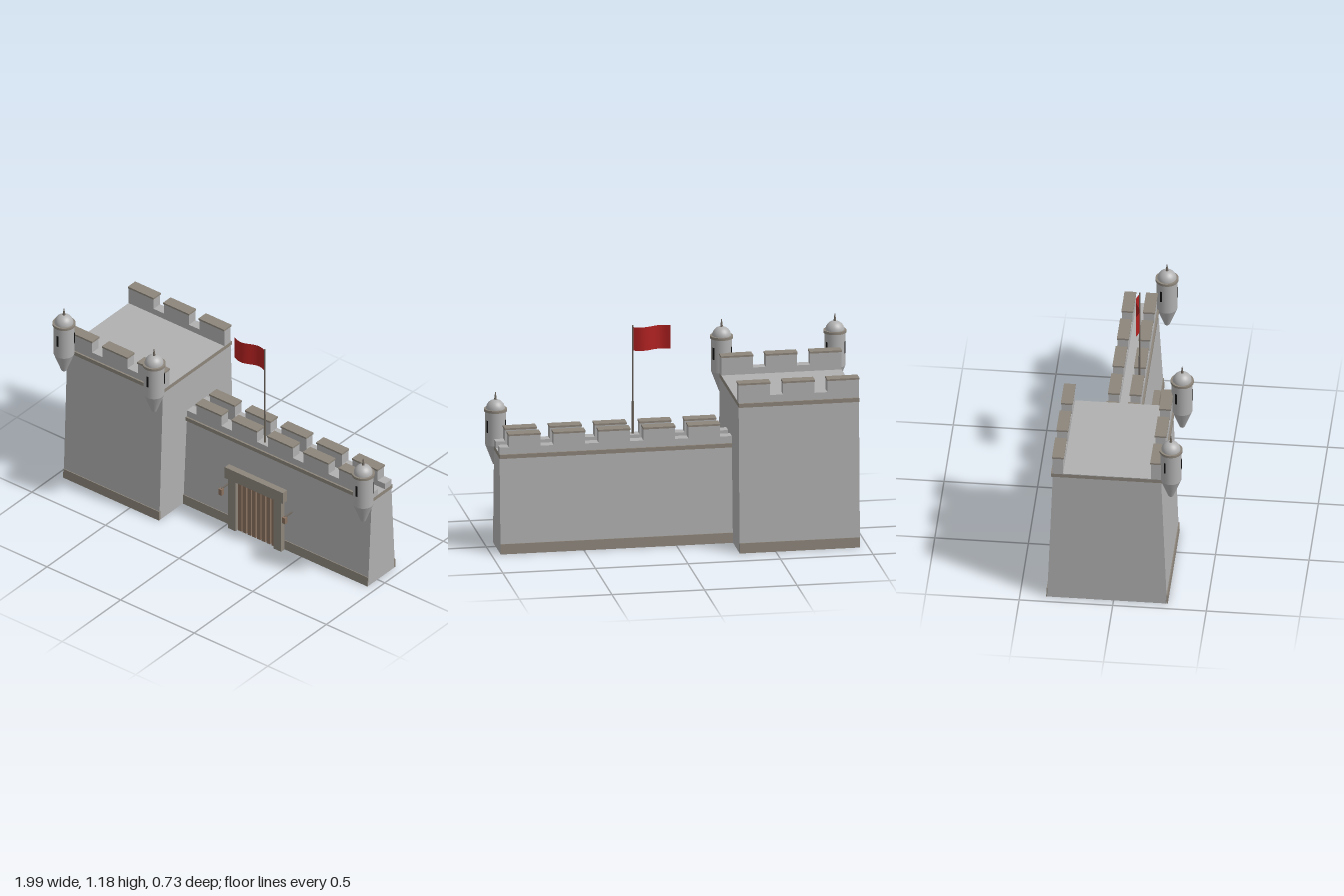
import * as THREE from 'three';

const mat = (name, color, side = THREE.FrontSide) => {
  const m = new THREE.MeshStandardMaterial({ color, side });
  m.name = name;
  return m;
};

export function createModel() {
  const stone = mat('stone', 0xb0b0b0);
  const trim = mat('trimStone', 0x8c857b);
  const wood = mat('wood', 0x8a7260);
  const dark = mat('slitBlack', 0x111111);
  const metal = mat('metal', 0x6e675f);
  const red = mat('flagRed', 0xb02020, THREE.DoubleSide);
  const model = new THREE.Group();
  model.name = 'castle';

  const add = (name, geo, material, parent = model) => {
    const mesh = new THREE.Mesh(geo, material);
    mesh.name = name;
    parent.add(mesh);
    return mesh;
  };
  // Box given by its limits on each axis
  const box = (name, [x0, x1], [y0, y1], [z0, z1], material, parent) => {
    const m = add(name, new THREE.BoxGeometry(x1 - x0, y1 - y0, z1 - z0), material, parent);
    m.position.set((x0 + x1) / 2, (y0 + y1) / 2, (z0 + z1) / 2);
    return m;
  };
  // Block whose back and front faces lean: low and high are [back, front] z limits
  const leaning = (name, [x0, x1], [y0, y1], low, high, material, parent) => {
    const geo = new THREE.BoxGeometry(x1 - x0, y1 - y0, 1);
    const p = geo.attributes.position;
    for (let i = 0; i < p.count; i++) {
      const lim = p.getY(i) > 0 ? high : low;
      p.setZ(i, lim[p.getZ(i) > 0 ? 1 : 0]);
    }
    geo.translate((x0 + x1) / 2, (y0 + y1) / 2, 0);
    geo.computeVertexNormals();
    return add(name, geo, material, parent);
  };

  // Battered wall with plinth, string course, parapets and merlons
  function rampart(name, { x, top, mid, base, head, merlons }) {
    const g = new THREE.Group();
    g.name = name;
    model.add(g);
    leaning('masonry', x, [0, top], [mid - base, mid + base], [mid - head, mid + head], stone, g);
    box('stringCourse', x, [top, top + 0.022], [mid - head - 0.01, mid + head + 0.01], trim, g);
    box('walkway', x, [top + 0.021, top + 0.025], [mid - head, mid + head], stone, g);
    const step = (base - head) * 0.055 / top;
    for (const s of [-1, 1]) {
      const span = (a, b) => [mid + s * a, mid + s * b].sort((p, q) => p - q);
      leaning('plinth', x, [0, 0.055], span(base - 0.01, base + 0.005),
        span(base - 0.01, base - step + 0.005), trim, g);
      box('parapet', x, [top + 0.022, top + 0.06], span(head - 0.055, head), stone, g);
      for (const m of merlons) {
        box('merlon', [m, m + 0.17], [top + 0.06, top + 0.122], span(head - 0.055, head), stone, g);
        box('merlonCap', [m - 0.002, m + 0.172], [top + 0.122, top + 0.132],
          span(head - 0.059, head + 0.004), trim, g);
      }
    }
  }
  rampart('tower', {
    x: [-0.955, -0.305], top: 0.8, mid: -0.035, base: 0.32, head: 0.29,
    merlons: [-0.955, -0.715, -0.475],
  });
  rampart('curtainWall', {
    x: [-0.305, 0.95], top: 0.522, mid: -0.035, base: 0.115, head: 0.085,
    merlons: [0, 1, 2, 3, 4].map((i) => -0.24 + i * 0.2425),
  });

  // Hanging lookout turrets
  function turret(x, y, z) {
    const g = new THREE.Group();
    g.name = 'turret';
    g.position.set(x, y, z);
    model.add(g);
    const part = (name, geo, h, material) => { add(name, geo, material, g).position.y = h; };
    part('corbel', new THREE.CylinderGeometry(0.056, 0.014, 0.11, 24), 0.055, stone);
    part('drum', new THREE.CylinderGeometry(0.056, 0.056, 0.185, 24), 0.2025, stone);
    part('ring', new THREE.CylinderGeometry(0.062, 0.062, 0.014, 24), 0.3, trim);
    part('dome', new THREE.SphereGeometry(0.051, 24, 10, 0, Math.PI * 2, 0, Math.PI / 2), 0.305, stone);
    part('finial', new THREE.CylinderGeometry(0.002, 0.008, 0.044, 10), 0.373, metal);
    for (let i = 0; i < 3; i++) {
      const a = i * Math.PI * 2 / 3;
      const slit = add('arrowSlit', new THREE.BoxGeometry(0.011, 0.066, 0.006), dark, g);
      slit.position.set(Math.sin(a) * 0.0545, 0.214, Math.cos(a) * 0.0545);
      slit.rotation.y = a;
    }
  }
  turret(-0.937, 0.71, 0.305);
  turret(-0.325, 0.71, 0.305);
  turret(0.933, 0.43, 0.1);

  // Gate: frame, backing board and upright bars
  const gate = new THREE.Group();
  gate.name = 'gate';
  model.add(gate);
  for (const x of [0.025, 0.335]) box('gatePost', [x, x + 0.052], [0, 0.32], [0.085, 0.115], trim, gate);
  box('lintel', [0.008, 0.403], [0.318, 0.387], [0.083, 0.12], trim, gate);
  box('gateBoard', [0.077, 0.335], [0, 0.318], [0.05, 0.072], wood, gate);
  box('gateRail', [0.077, 0.335], [0.305, 0.318], [0.072, 0.1], wood, gate);
  for (let i = 0; i < 8; i++) {
    const x = 0.079 + i * 0.0325;
    box('gateBar', [x, x + 0.024], [0, 0.31], [0.072, 0.098], wood, gate);
  }

  // Wall lamps on either side of the gate
  for (const x of [-0.01, 0.421]) {
    box('lamp', [x - 0.01, x + 0.01], [0.208, 0.245], [0.118, 0.138], wood);
    box('lampBracket', [x - 0.004, x + 0.004], [0.24, 0.247], [0.06, 0.125], metal);
  }

  // Flagpole and waving flag
  const pole = (name, r, y0, y1) => {
    add(name, new THREE.CylinderGeometry(r, r, y1 - y0, 10), metal).position.set(0.205, (y0 + y1) / 2, 0.025);
  };
  pole('flagpole', 0.0045, 0.57, 1.18);
  pole('poleSocket', 0.006, 0.54, 0.76);
  const flagGeo = new THREE.PlaneGeometry(0.205, 0.13, 24, 1);
  const fp = flagGeo.attributes.position;
  for (let i = 0; i < fp.count; i++) {
    const t = (0.1025 - fp.getX(i)) / 0.205;
    fp.setZ(i, -0.015 * Math.sin(t * Math.PI * 2));
  }
  flagGeo.computeVertexNormals();
  add('flag', flagGeo, red).position.set(0.1025, 1.105, 0.025);

  return model;
}
